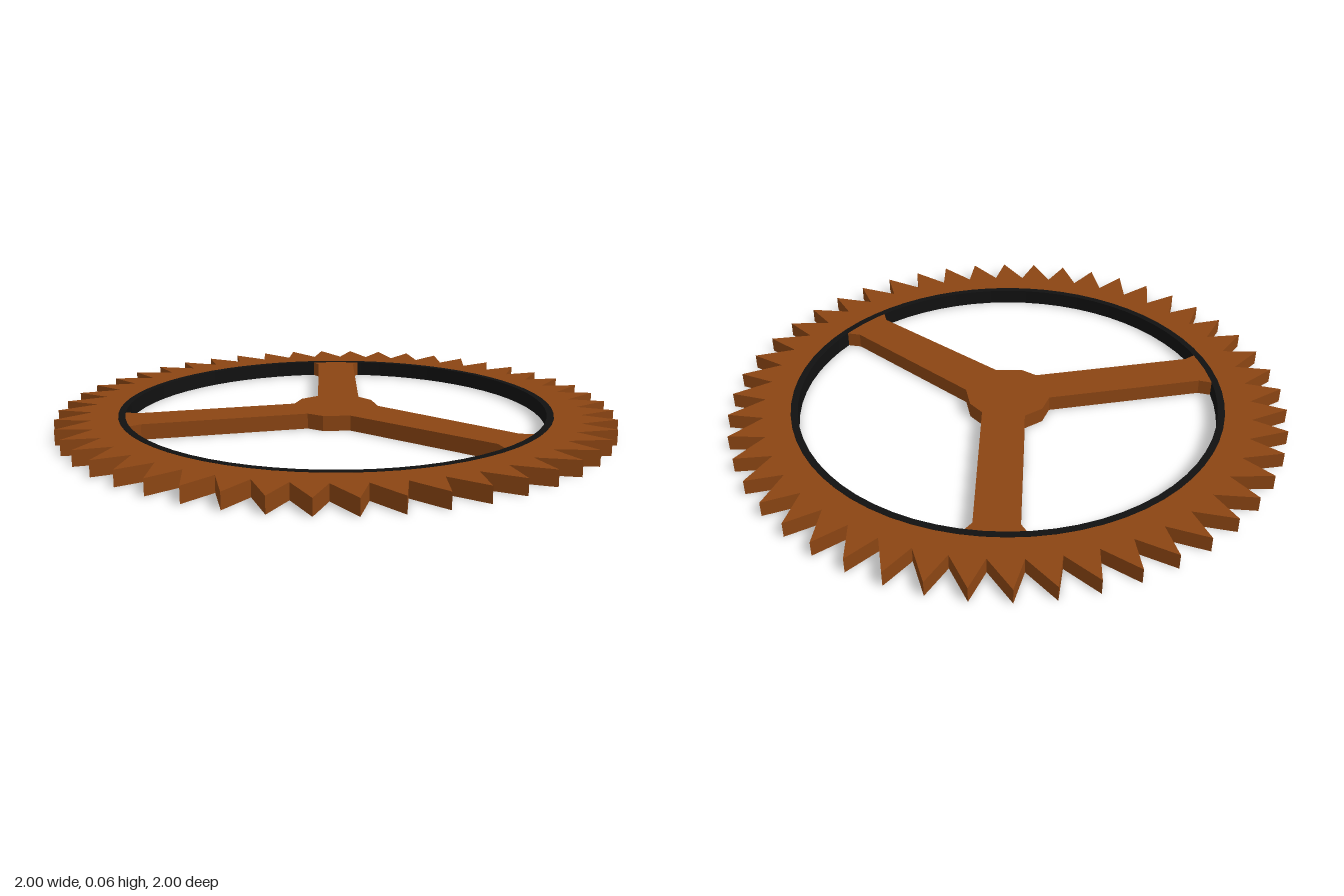
import * as THREE from 'three';

const HEIGHT = 0.055;
const brown = new THREE.MeshStandardMaterial({ color: 0x8b4513, side: THREE.DoubleSide });
const black = new THREE.MeshStandardMaterial({ color: 0x111111, side: THREE.DoubleSide });

// points are [x, z] seen from above
const toVectors = (points) => points.map(([x, z]) => new THREE.Vector2(x, -z));

function circle(radius, segments) {
  return Array.from({ length: segments }, (_, i) => {
    const a = (i / segments) * Math.PI * 2;
    return [radius * Math.cos(a), radius * Math.sin(a)];
  });
}

// Upright walls with a top face, open underneath
function openShell(name, material, height, outline, hole) {
  const shape = new THREE.Shape(toVectors(outline));
  if (hole) shape.holes.push(new THREE.Path(toVectors(hole)));
  const solid = new THREE.ExtrudeGeometry(shape, { depth: height, bevelEnabled: false });
  const p = solid.attributes.position;
  const kept = [];
  for (let i = 0; i < p.count; i += 3) {
    const isBottom = p.getZ(i) + p.getZ(i + 1) + p.getZ(i + 2) < 1e-6;
    if (isBottom) continue;
    for (let k = i; k < i + 3; k++) kept.push(p.getX(k), p.getY(k), p.getZ(k));
  }
  const geometry = new THREE.BufferGeometry();
  geometry.setAttribute('position', new THREE.Float32BufferAttribute(kept, 3));
  geometry.rotateX(-Math.PI / 2);
  geometry.computeVertexNormals();
  const mesh = new THREE.Mesh(geometry, material);
  mesh.name = name;
  return mesh;
}

export function createModel() {
  const group = new THREE.Group();
  group.name = 'gearWheel';

  // Toothed rim: 48 slightly raked teeth
  const teeth = 48;
  const rim = [];
  for (let i = 0; i < teeth; i++) {
    const tip = 0.0475 + (i / teeth) * Math.PI * 2;
    const valley = tip - 0.043;
    rim.push([0.876 * Math.cos(valley), 0.876 * Math.sin(valley)]);
    rim.push([1.001 * Math.cos(tip), 1.001 * Math.sin(tip)]);
  }
  group.add(openShell('toothedRim', brown, HEIGHT, rim, circle(0.77, 64)));

  // Inner band lining the rim
  group.add(openShell('innerBand', black, HEIGHT + 0.001, circle(0.782, 64), circle(0.757, 64)));

  // Hub with three flared spokes, in one outline
  const spokes = [
    [-0.765, -0.095], [-0.71, -0.067], [-0.14, -0.067], [-0.10, -0.13],
    [-0.03, -0.16], [0.10, -0.715], [0.085, -0.76],
    [0.285, -0.715], [0.245, -0.68], [0.115, -0.11], [0.148, -0.05],
    [0.148, 0.04], [0.50, 0.505], [0.56, 0.53],
    [0.39, 0.665], [0.385, 0.60], [0.015, 0.148], [-0.08, 0.13],
    [-0.125, 0.085], [-0.71, 0.085], [-0.765, 0.11],
  ];
  group.add(openShell('hubAndSpokes', brown, HEIGHT, spokes));

  return group;
}
